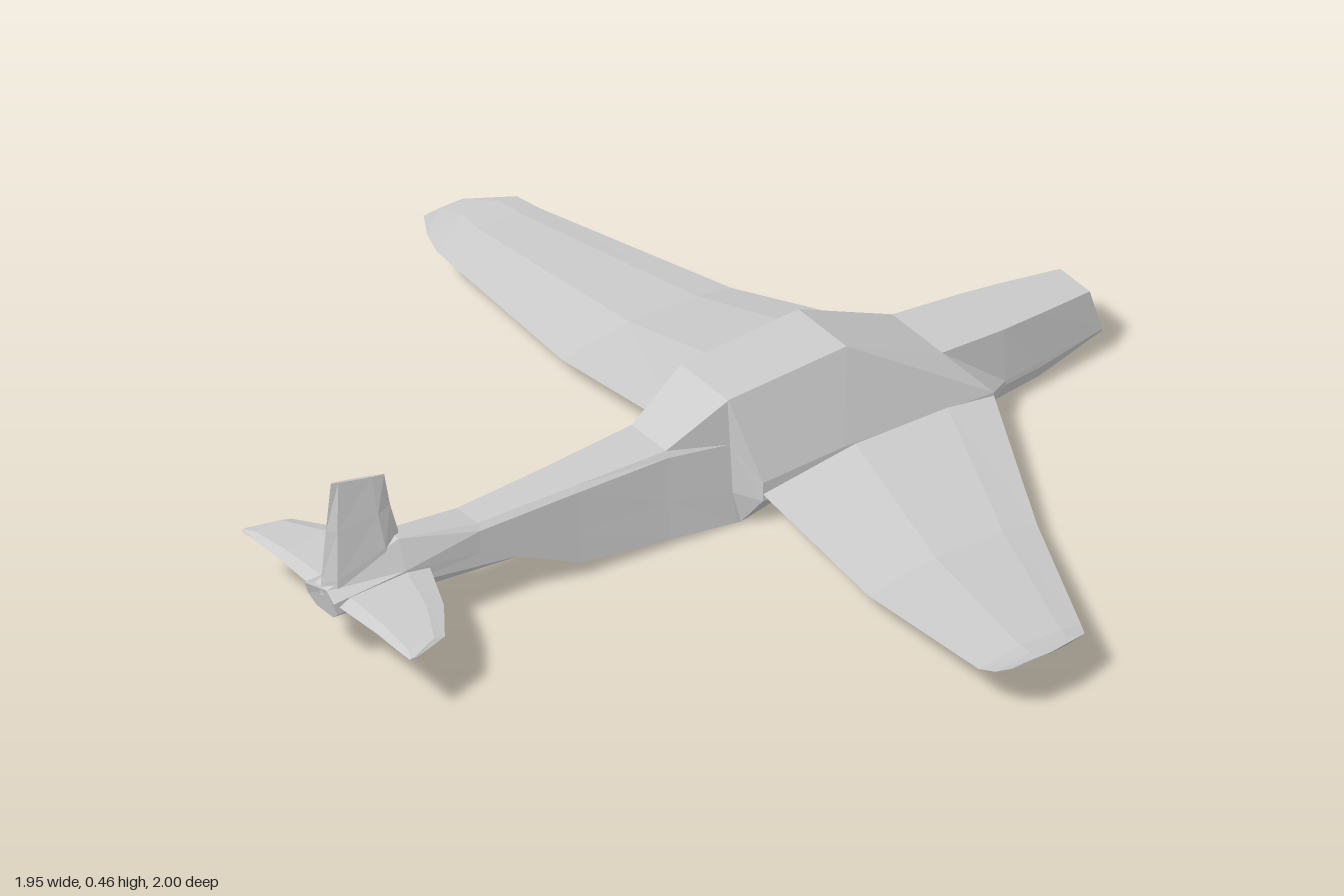
import * as THREE from 'three';

const material = new THREE.MeshStandardMaterial({ color: 0xcccccc, flatShading: true });

// Skins a row of closed rings of [x, y, z] points, caps both ends and faces outward.
function loft(name, rings) {
  const tris = [];
  const n = rings[0].length;
  for (let i = 0; i < rings.length - 1; i++) {
    const a = rings[i], b = rings[i + 1];
    for (let j = 0; j < n; j++) {
      const k = (j + 1) % n;
      if (j < n / 2) tris.push([a[j], b[j], b[k]], [a[j], b[k], a[k]]);
      else tris.push([a[j], b[j], a[k]], [b[j], b[k], a[k]]);
    }
  }
  const first = rings[0], last = rings[rings.length - 1];
  for (let j = 1; j < n - 1; j++) {
    tris.push([first[0], first[j], first[j + 1]], [last[0], last[j + 1], last[j]]);
  }
  // The signed volume tells whether the skin is inside out
  let volume = 0;
  for (const [p, q, r] of tris) {
    volume += new THREE.Vector3(...p).dot(new THREE.Vector3(...q).cross(new THREE.Vector3(...r)));
  }
  if (volume < 0) tris.forEach((t) => t.reverse());
  const geometry = new THREE.BufferGeometry();
  geometry.setAttribute('position', new THREE.Float32BufferAttribute(tris.flat(2), 3));
  geometry.computeVertexNormals();
  const mesh = new THREE.Mesh(geometry, material);
  mesh.name = name;
  return mesh;
}

const flipZ = ([x, y, z]) => [x, y, -z];

// Half section of the body (top, upper side, lower side, bottom) mirrored to a ring
const bodyRing = (...half) => [...half, ...half.map(flipZ).reverse()];

function createFuselage() {
  return loft('fuselage', [
    bodyRing([-0.97, 0.21, 0.02], [-0.975, 0.195, 0.05], [-0.965, 0.165, 0.05], [-0.96, 0.145, 0.028]),
    bodyRing([-0.79, 0.265, 0.022], [-0.79, 0.2, 0.048], [-0.79, 0.165, 0.046], [-0.79, 0.135, 0.03]),
    bodyRing([-0.6, 0.231, 0.034], [-0.6, 0.218, 0.045], [-0.6, 0.165, 0.045], [-0.5, 0.115, 0.045]),
    bodyRing([-0.36, 0.23, 0.045], [-0.36, 0.218, 0.055], [-0.36, 0.12, 0.055], [-0.35, 0.04, 0.055]),
    bodyRing([-0.14, 0.231, 0.058], [-0.14, 0.218, 0.066], [-0.14, 0.11, 0.068], [-0.14, 0.018, 0.07]),
    bodyRing([0, 0.308, 0.08], [0.005, 0.2, 0.082], [0.01, 0.08, 0.084], [0.02, 0.002, 0.085]),
    bodyRing([0.002, 0.31, 0.08], [0.045, 0.12, 0.14], [0.045, 0.075, 0.14], [0.03, 0, 0.085]),
    bodyRing([0.3, 0.32, 0.082], [0.25, 0.124, 0.14], [0.25, 0.07, 0.14], [0.17, 0.027, 0.085]),
    bodyRing([0.54, 0.205, 0.085], [0.63, 0.1, 0.14], [0.63, 0.08, 0.14], [0.5, 0.03, 0.085]),
    bodyRing([0.7, 0.191, 0.078], [0.7, 0.068, 0.085], [0.7, 0.058, 0.085], [0.7, 0.029, 0.078]),
    bodyRing([0.8, 0.183, 0.068], [0.8, 0.068, 0.073], [0.8, 0.055, 0.073], [0.8, 0.029, 0.066]),
    bodyRing([0.94, 0.17, 0.05], [0.965, 0.075, 0.054], [0.968, 0.067, 0.054], [0.97, 0.06, 0.05]),
  ]);
}

// Wing stations: span z, trailing x, leading x, bottom y, edge y, top y
const wingStations = [
  [0.08, 0.05, 0.64, 0.075, 0.095, 0.125],
  [0.14, 0.045, 0.63, 0.07, 0.092, 0.12],
  [0.52, 0.028, 0.455, 0.043, 0.062, 0.085],
  [0.92, 0.01, 0.27, 0.1, 0.112, 0.127],
  [0.965, 0.018, 0.245, 0.117, 0.127, 0.138],
  [1, 0.035, 0.135, 0.145, 0.147, 0.149],
];

function createWing(name, side) {
  return loft(name, wingStations.map(([z, back, front, low, edge, high]) => {
    const at = (t, y) => [back + (front - back) * t, y, z * side];
    return [
      at(0, edge), at(0.4, high), at(0.8, (high * 2 + edge) / 3),
      at(1, edge), at(0.8, low), at(0.3, low),
    ];
  }));
}

// Tailplane stations: span z, trailing x, leading x, half thickness
const tailStations = [
  [0.02, -0.955, -0.72, 0.014],
  [0.05, -0.96, -0.73, 0.013],
  [0.17, -0.955, -0.785, 0.011],
  [0.26, -0.957, -0.85, 0.008],
  [0.286, -0.957, -0.94, 0.003],
];

function createTailplane(name, side) {
  return loft(name, tailStations.map(([z, back, front, h]) => {
    const at = (t, y) => [back + (front - back) * t, 0.182 + y, z * side];
    return [at(0, 0), at(0.12, h), at(0.75, h), at(1, 0), at(0.75, -h), at(0.12, -h)];
  }));
}

// Fin stations: trailing x and y, leading x and y, half thickness
const finStations = [
  [-0.972, 0.19, -0.77, 0.2, 0.026],
  [-0.97, 0.22, -0.775, 0.27, 0.024],
  [-0.958, 0.34, -0.795, 0.34, 0.014],
  [-0.945, 0.455, -0.81, 0.422, 0.003],
];

function createFin() {
  return loft('fin', finStations.map(([bx, by, fx, fy, w]) => {
    const at = (t, z) => [bx + (fx - bx) * t, by + (fy - by) * t, z];
    return [at(0, 0), at(0.12, w), at(0.75, w), at(1, 0), at(0.75, -w), at(0.12, -w)];
  }));
}

export function createModel() {
  const plane = new THREE.Group();
  plane.name = 'airplane';
  plane.add(createFuselage(), createFin());
  for (const [label, side] of [['front', 1], ['back', -1]]) {
    plane.add(createWing(label + 'Wing', side), createTailplane(label + 'Tailplane', side));
  }
  return plane;
}
